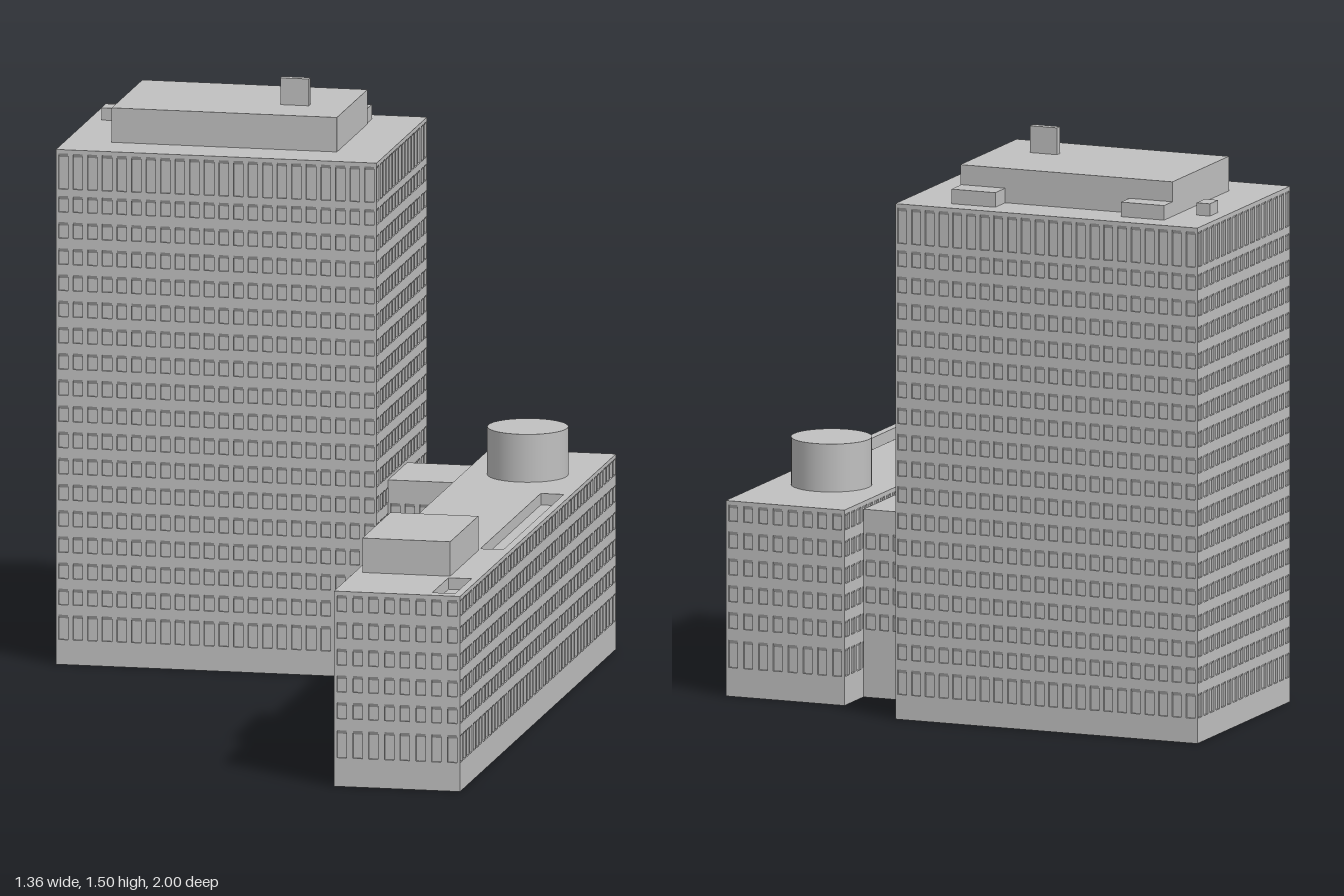
import * as THREE from 'three';

const concrete = new THREE.MeshStandardMaterial({ color: 0xc0c0c0 });
concrete.name = 'concrete grey';

const WINDOW_W = 0.025, RECESS = 0.006, HEAD = 0.01;

function add(parent, name, geometry, x = 0, y = 0, z = 0) {
  const mesh = new THREE.Mesh(geometry, concrete);
  mesh.name = name;
  mesh.position.set(x, y, z);
  parent.add(mesh);
  return mesh;
}

function box(parent, name, x0, x1, y0, y1, z0, z1) {
  const g = new THREE.BoxGeometry(x1 - x0, y1 - y0, z1 - z0);
  return add(parent, name, g, (x0 + x1) / 2, (y0 + y1) / 2, (z0 + z1) / 2);
}

// Flat-shaded surface from four-cornered faces (counter-clockwise)
function quadGeometry(quads) {
  const pos = [];
  for (const [a, b, c, d] of quads) pos.push(...a, ...b, ...c, ...a, ...c, ...d);
  const g = new THREE.BufferGeometry();
  g.setAttribute('position', new THREE.Float32BufferAttribute(pos, 3));
  g.computeVertexNormals();
  return g;
}

const rect = (x0, x1, y0, y1, z) => [[x0, y0, z], [x1, y0, z], [x1, y1, z], [x0, y1, z]];

// Quads joining two rectangular loops
function bridge(quads, outer, inner) {
  for (let i = 0; i < 4; i++) {
    const j = (i + 1) % 4;
    quads.push([outer[i], outer[j], inner[j], inner[i]]);
  }
}

// Wall facing +z with a grid of recessed windows that have sloping heads
function wallGeometry(width, height, cols, rows) {
  const quads = [], pitch = width / cols;
  rows.forEach(([y0, y1], r) => {
    const low = r ? (rows[r - 1][1] + y0) / 2 : 0;
    const high = r < rows.length - 1 ? (y1 + rows[r + 1][0]) / 2 : height;
    for (let c = 0; c < cols; c++) {
      const u = -width / 2 + c * pitch, m = u + pitch / 2;
      const cell = rect(u, u + pitch, low, high, 0);
      const opening = rect(m - WINDOW_W / 2, m + WINDOW_W / 2, y0, y1, 0);
      const pane = rect(m - WINDOW_W / 2, m + WINDOW_W / 2, y0, y1 - HEAD, -RECESS);
      bridge(quads, cell, opening);
      bridge(quads, opening, pane);
      quads.push(pane);
    }
  });
  return quadGeometry(quads);
}

// Building block: four windowed walls, base and roof with optional troughs
function block(name, [x0, x1, z0, z1], height, colsX, colsZ, rows, troughs = []) {
  const group = new THREE.Group();
  group.name = name;
  const cx = (x0 + x1) / 2, cz = (z0 + z1) / 2, w = x1 - x0, d = z1 - z0;
  const frontGeo = wallGeometry(w, height, colsX, rows);
  const sideGeo = wallGeometry(d, height, colsZ, rows);
  add(group, 'frontWall', frontGeo, cx, 0, z1);
  add(group, 'backWall', frontGeo, cx, 0, z0).rotation.y = Math.PI;
  add(group, 'leftWall', sideGeo, x1, 0, cz).rotation.y = Math.PI / 2;
  add(group, 'rightWall', sideGeo, x0, 0, cz).rotation.y = -Math.PI / 2;
  add(group, 'base', new THREE.PlaneGeometry(w, d).rotateX(Math.PI / 2), cx, 0, cz);

  const loop = (a, b, c, e) => [[a, -e], [b, -e], [b, -c], [a, -c]].map(p => new THREE.Vector2(...p));
  const roof = new THREE.Shape(loop(x0, x1, z0, z1));
  for (const t of troughs) {
    roof.holes.push(new THREE.Path(loop(...t)));
    const ring = y => [[t[0], y, t[3]], [t[1], y, t[3]], [t[1], y, t[2]], [t[0], y, t[2]]];
    const quads = [ring(height - 0.03)];
    bridge(quads, ring(height), ring(height - 0.03));
    add(group, 'roofTrough', quadGeometry(quads));
  }
  add(group, 'roof', new THREE.ShapeGeometry(roof).rotateX(-Math.PI / 2), 0, height, 0);
  return group;
}

// Evenly stacked window rows, given the lowest head height
function storeys(count, firstTop, pitch, h) {
  return Array.from({ length: count }, (_, i) => [firstTop + i * pitch - h, firstTop + i * pitch]);
}

export function createModel() {
  const model = new THREE.Group();
  model.name = 'officeComplex';

  // Tower with taller windows on the ground and top floors
  const towerRows = [[0.065, 0.13], ...storeys(16, 0.198, 0.0684, 0.042), [1.242, 1.335]];
  const tower = block('tower', [-0.68, 0.16, -1, -0.39], 1.345, 22, 16, towerRows);
  box(tower, 'penthouse', -0.56, 0.03, 1.345, 1.435, -0.88, -0.51);
  box(tower, 'penthouseAnnexRight', -0.56, -0.44, 1.345, 1.383, -0.935, -0.88);
  box(tower, 'penthouseAnnexLeft', -0.095, 0.027, 1.345, 1.383, -0.945, -0.88);
  box(tower, 'roofVent', -0.647, -0.61, 1.345, 1.377, -0.84, -0.785);
  box(tower, 'chimney', -0.147, -0.072, 1.435, 1.505, -0.662, -0.642);

  // Long low wing
  const wingRows = [[0.075, 0.147], ...storeys(5, 0.22, 0.07, 0.043)];
  const troughs = [[0.6, 0.66, -0.345, 0.385], [0.6, 0.66, 0.77, 0.965]];
  const wing = block('wing', [0.35, 0.68, -0.885, 1], 0.51, 8, 49, wingRows, troughs);
  box(wing, 'plantRoom', 0.37, 0.6, 0.51, 0.6, 0.41, 0.75);
  add(wing, 'roofTank', new THREE.CylinderGeometry(0.104, 0.104, 0.125, 32), 0.515, 0.5725, -0.58);

  // Connecting link with a low entrance in front
  const link = block('link', [0.16, 0.35, -0.76, -0.53], 0.49, 5, 6, storeys(4, 0.22, 0.07, 0.043));
  box(link, 'entrance', 0.16, 0.35, 0, 0.08, -0.53, -0.4);

  model.add(tower, wing, link);
  return model;
}
